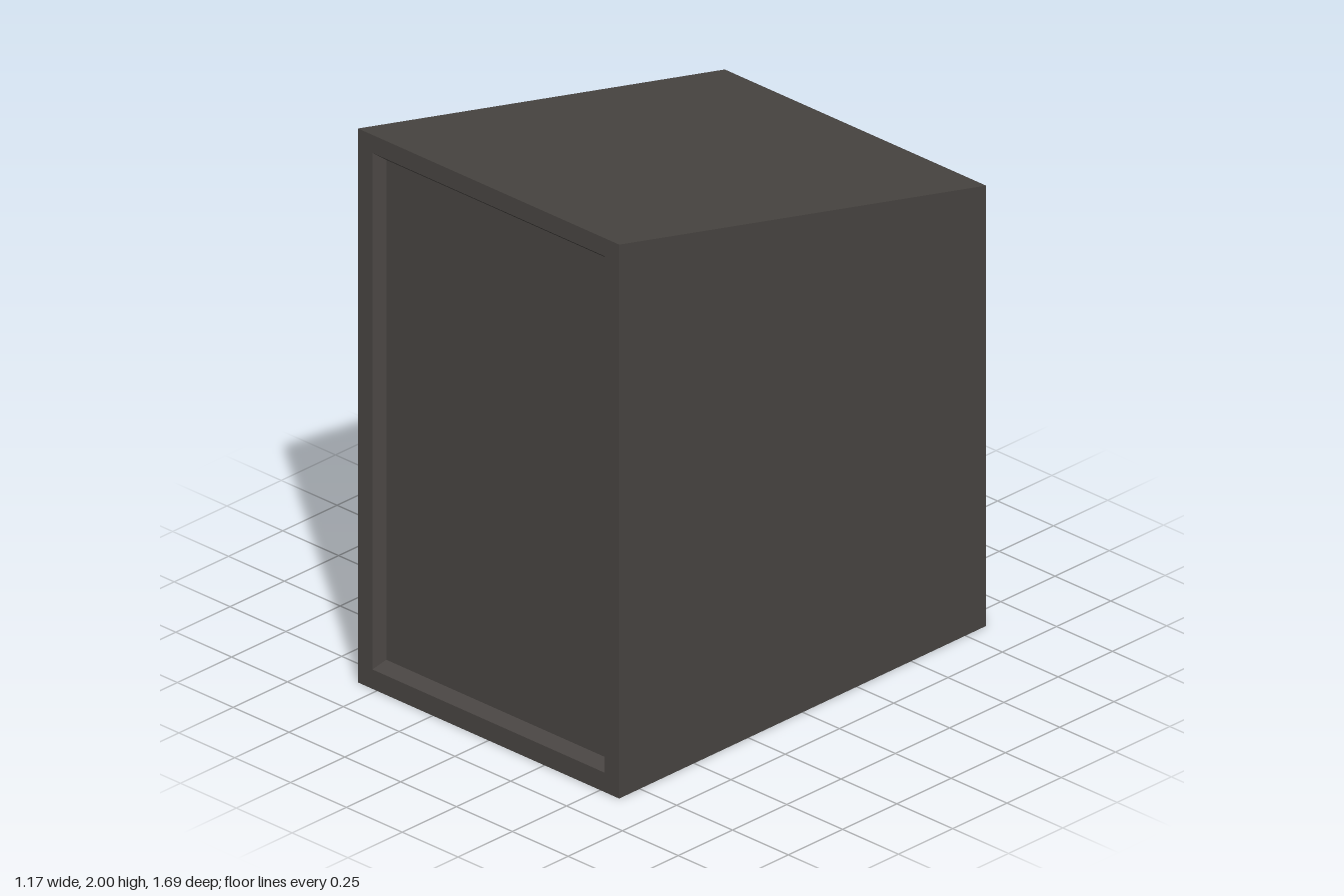
import * as THREE from 'three';

// Rectangular cross-sections: half width, bottom, top, z
const BACK = [0.585, 0, 1.59, -0.845];
const FRONT = [0.585, 0, 2, 0.845];
const RIM = [0.52, 0.07, 1.935, 0.845];
const PANEL = [0.495, 0.1, 1.905, 0.807];

// Corners run anticlockwise as seen from the front
const corners = ([w, y0, y1, z]) => [[-w, y0, z], [w, y0, z], [w, y1, z], [-w, y1, z]];

const quad = (a, b, c, d) => [a, b, c, a, c, d];

// Four flat sides joining one rectangle to the next
function band(from, to) {
  const a = corners(from), b = corners(to);
  return a.flatMap((p, i) => {
    const j = (i + 1) % 4;
    return quad(p, a[j], b[j], b[i]);
  });
}

function makeMesh(name, points, material) {
  const geometry = new THREE.BufferGeometry();
  geometry.setAttribute('position', new THREE.Float32BufferAttribute(points.flat(), 3));
  geometry.computeVertexNormals();
  const mesh = new THREE.Mesh(geometry, material);
  mesh.name = name;
  return mesh;
}

export function createModel() {
  const group = new THREE.Group();
  group.name = 'slopedCabinet';
  const charcoal = new THREE.MeshStandardMaterial({ color: 0x4a4643 });
  charcoal.name = 'charcoal';

  // Wedge-topped shell: sides, base, sloping top and back
  const back = quad(...corners(BACK).reverse());
  group.add(makeMesh('cabinetShell', [...band(BACK, FRONT), ...back], charcoal));

  // Flat border round the front opening
  group.add(makeMesh('frontFrame', band(FRONT, RIM), charcoal));

  // Bevel sloping in to the recessed panel
  group.add(makeMesh('recessBevel', band(RIM, PANEL), charcoal));
  group.add(makeMesh('frontPanel', quad(...corners(PANEL)), charcoal));

  return group;
}
